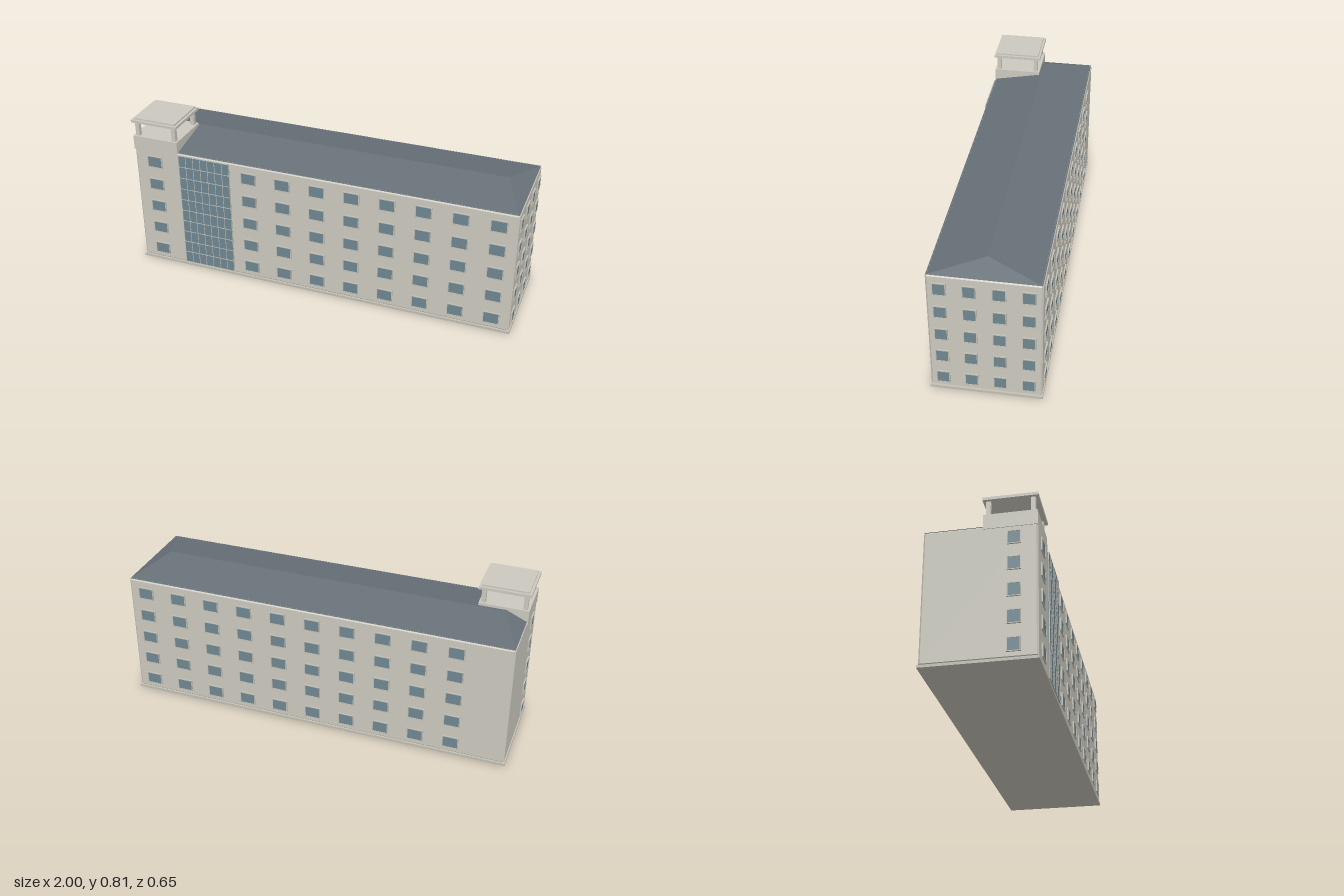
import * as THREE from 'three';
import { ConvexGeometry } from 'three/addons/geometries/ConvexGeometry.js';

const mat = (color) => new THREE.MeshStandardMaterial({ color, flatShading: true });
const wallMat = mat(0xcbc9be), trimMat = mat(0xc2c0b4), glassMat = mat(0x6f8791), roofMat = mat(0x667077);

const HX = 0.979, HZ = 0.254;              // wall half length and half depth
const Y0 = 0.012, Y1 = 0.656;              // wall bottom and top
const ROWS = 5, ROW0 = 0.073, ROW_STEP = 0.128, COL_STEP = 0.178;

function add(parent, name, geometry, material, x = 0, y = 0, z = 0) {
  const mesh = new THREE.Mesh(geometry, material);
  mesh.name = name;
  mesh.position.set(x, y, z);
  parent.add(mesh);
  return mesh;
}
const box = (w, h, d) => new THREE.BoxGeometry(w, h, d);

// Box with all edges chamfered, centred at the origin
function chamferedBox(w, h, d, c) {
  const points = [];
  for (const sx of [-1, 1]) for (const sy of [-1, 1]) for (const sz of [-1, 1]) {
    for (let axis = 0; axis < 3; axis++) {
      const inset = [c, c, c];
      inset[axis] = 0;
      points.push(new THREE.Vector3(
        sx * (w / 2 - inset[0]), sy * (h / 2 - inset[1]), sz * (d / 2 - inset[2])));
    }
  }
  return new ConvexGeometry(points);
}

// Returns a function that makes a framed window facing +z, its back on z = 0
function windowMaker(w, h) {
  const rect = (path, a, b) => path.moveTo(-a, -b).lineTo(a, -b).lineTo(a, b).lineTo(-a, b).closePath();
  const ring = new THREE.Shape(), hole = new THREE.Path(), t = 0.004;
  rect(ring, w / 2, h / 2);
  rect(hole, w / 2 - t, h / 2 - t);
  ring.holes.push(hole);
  const frame = new THREE.ExtrudeGeometry(ring, { depth: 0.007, bevelEnabled: false });
  const glass = box(w - 2 * t, h - 2 * t, 0.005);
  return () => {
    const group = new THREE.Group();
    group.name = 'window';
    add(group, 'windowFrame', frame, trimMat);
    add(group, 'windowGlass', glass, glassMat, 0, 0, 0.0025);
    return group;
  };
}

// One facade: window columns at the given offsets, turned to face outward
function facade(name, make, columns, distance, turn) {
  const side = new THREE.Group();
  side.name = name;
  for (const x of columns) {
    for (let r = 0; r < ROWS; r++) {
      const win = make();
      win.position.set(x, ROW0 + r * ROW_STEP, distance);
      side.add(win);
    }
  }
  side.rotation.y = turn;
  return side;
}

// Glazed stairwell strip with a grid of thin bars
function curtainWall() {
  const group = new THREE.Group(), w = 0.276, h = 0.626, cols = 7, rows = 10;
  group.name = 'curtainWall';
  add(group, 'curtainGlass', box(w, h, 0.006), glassMat);
  for (let i = 0; i <= cols; i++)
    add(group, 'mullion', box(0.0025, h, 0.004), trimMat, -w / 2 + (i * w) / cols, 0, 0.003);
  for (let i = 0; i <= rows; i++)
    add(group, 'transom', box(w, 0.0025, 0.004), trimMat, 0, -h / 2 + (i * h) / rows, 0.003);
  group.position.set(-0.596, 0.334, HZ + 0.002);
  return group;
}

// Open rooftop pavilion on the front corner
function tower() {
  const group = new THREE.Group();
  group.name = 'tower';
  add(group, 'towerBase', box(0.242, 0.073, 0.242), wallMat, 0, 0.6765, 0);
  for (const x of [-0.1, 0.1]) for (const z of [-0.1, 0.1])
    add(group, 'towerPost', box(0.021, 0.078, 0.021), wallMat, x, 0.75, z);
  add(group, 'towerSlab', box(0.249, 0.014, 0.249), wallMat, 0, 0.794, 0);
  add(group, 'towerCap', box(0.225, 0.009, 0.225), wallMat, 0, 0.8045, 0);
  group.position.set(-0.861, 0, 0.133);
  return group;
}

export function createModel() {
  const model = new THREE.Group();
  model.name = 'apartmentBlock';
  const building = new THREE.Group();
  building.name = 'building';
  building.rotation.y = 0.0664;            // stands slightly turned on its plot
  model.add(building);

  // Plinth and walls
  add(building, 'plinth', box(1.968, 0.013, 0.516), trimMat, 0, 0.0065, 0);
  add(building, 'walls', chamferedBox(HX * 2, Y1 - Y0, HZ * 2, 0.008), wallMat, 0, (Y0 + Y1) / 2, 0);

  // Hipped roof
  const hip = [];
  for (const sx of [-1, 1]) {
    for (const sz of [-1, 1]) hip.push(new THREE.Vector3(sx * 0.976, Y1 - 0.001, sz * 0.251));
    hip.push(new THREE.Vector3(sx * 0.872, 0.702, 0));
  }
  add(building, 'roof', new ConvexGeometry(hip), roofMat);

  // Windows on the four sides
  const wide = windowMaker(0.08, 0.064), narrow = windowMaker(0.061, 0.066);
  const run = (n, start, step) => Array.from({ length: n }, (_, i) => start + i * step);
  building.add(
    facade('frontWindows', wide, [-0.87, ...run(8, 0.89 - 7 * COL_STEP, COL_STEP)], HZ, 0),
    facade('backWindows', wide, run(10, -0.89, COL_STEP), HZ, Math.PI),
    facade('leftWindows', narrow, run(4, -0.195, 0.13), HX, Math.PI / 2),
    facade('rightWindows', narrow, [0.15], HX, -Math.PI / 2),
    curtainWall(),
    tower());
  return model;
}
